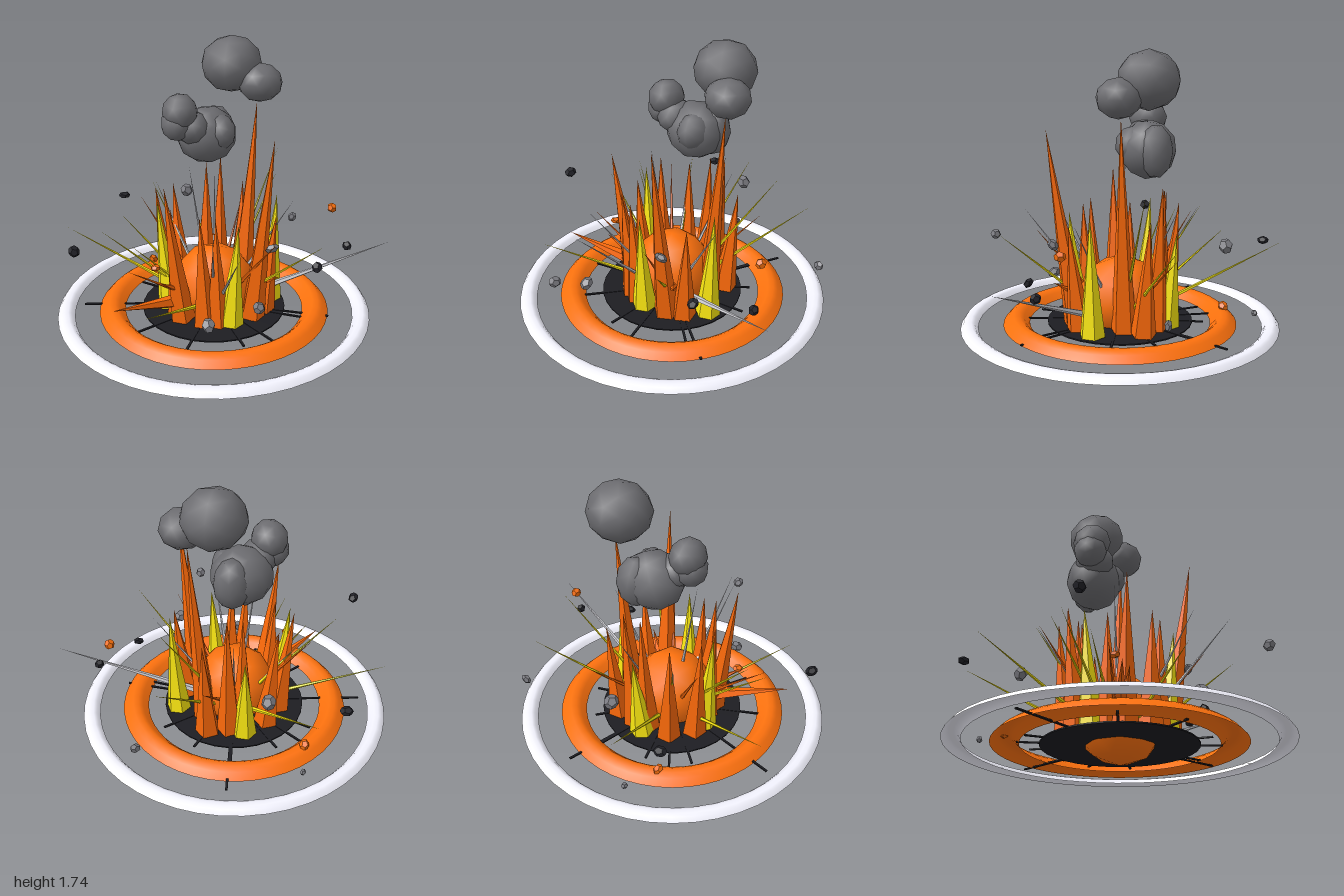
import * as THREE from 'three';

const CX = -0.035; // blast axis
const FLOOR = 0.112; // height of the scorched disc
const paint = (color, flatShading = false) => new THREE.MeshStandardMaterial({ color, flatShading });

export function createModel() {
  const model = new THREE.Group();
  const orange = paint(0xff720e), white = paint(0xf4f4ff), smokeGrey = paint(0x6c6c70);
  const dark = paint(0x1d1d22);
  const flame = paint(0xfa690a, true), yellow = paint(0xfbe812, true), silver = paint(0xd0d0d6, true);
  const coal = paint(0x222228, true), rock = paint(0x7c7c82, true), ember = paint(0xf06c0c, true);
  orange.side = white.side = THREE.DoubleSide;

  const add = (name, geometry, material, x = 0, y = 0, z = 0, parent = model) => {
    const mesh = new THREE.Mesh(geometry, material);
    mesh.name = name;
    mesh.position.set(x, y, z);
    parent.add(mesh);
    return mesh;
  };
  const group = (name) => {
    const g = new THREE.Group();
    g.name = name;
    model.add(g);
    return g;
  };

  // Domed shock rings, open underneath, turned from a profile of radius and height
  const ring = (name, profile, material) => {
    const points = profile.map(([r, y]) => new THREE.Vector2(r, y));
    add(name, new THREE.LatheGeometry(points, 48), material, CX, 0, 0);
  };
  ring('outerShockRing', [
    [0.965, 0.108], [0.945, 0.136], [0.925, 0.143], [0.9, 0.143], [0.88, 0.136], [0.86, 0.108],
  ], white);
  ring('innerShockRing', [
    [0.711, 0.108], [0.676, 0.146], [0.648, 0.165], [0.614, 0.165], [0.586, 0.146], [0.551, 0.108],
  ], orange);

  // Scorched disc with radial cracks
  add('scorchDisc', new THREE.CylinderGeometry(0.443, 0.443, 0.008, 32), dark, CX, FLOOR, 0);
  const cracks = group('cracks');
  const crackEnds = [
    [-0.81, -0.235], [-0.4, -0.4], [-0.3, -0.5], [-0.14, -0.5], [0.25, -0.73], [0.17, -0.56], [0.33, -0.34],
    [0.46, -0.12], [0.58, 0.37], [0.42, 0.33], [0.16, 0.53], [-0.02, 0.52], [-0.36, 0.48], [-0.6, 0.2],
  ];
  for (const [x, z] of crackEnds) {
    const length = Math.hypot(x - CX, z) - 0.2;
    const a = Math.atan2(z, x - CX);
    const geo = new THREE.BoxGeometry(length, 0.008, 0.014).translate(0.2 + length / 2, 0, 0);
    add('crack', geo, dark, CX, FLOOR + 0.003, 0, cracks).rotation.y = -a;
  }

  // Fireball core
  add('fireball', new THREE.IcosahedronGeometry(0.255, 1), orange, CX, 0.258, 0);

  // Cone from a base point to a tip
  const up = new THREE.Vector3(0, 1, 0);
  const spike = (name, base, tip, radius, sides, material, parent) => {
    const from = new THREE.Vector3(...base);
    const axis = new THREE.Vector3(...tip).sub(from);
    const length = axis.length();
    const geo = new THREE.ConeGeometry(radius, length, sides).translate(0, length / 2, 0);
    add(name, geo, material, ...base, parent).quaternion.setFromUnitVectors(up, axis.normalize());
  };

  // Tall flame spikes: base x, base z, tip x, y, z
  const flames = group('flameSpikes');
  const flameList = [
    [0.18, -0.1, 0.275, 1.37, -0.115], [0.14, 0.22, 0.195, 1.285, 0.374], [-0.27, 0.12, -0.38, 1.0, 0.17],
    [0.08, -0.26, 0.11, 0.98, -0.31], [-0.16, 0.22, -0.2, 0.83, 0.255], [0.23, 0.16, 0.29, 0.76, 0.2],
    [-0.28, -0.15, -0.34, 0.86, -0.2], [0.21, -0.23, 0.25, 0.8, -0.28], [-0.16, -0.26, -0.2, 0.83, -0.32],
    [-0.09, 0.24, -0.11, 0.81, 0.27], [-0.27, 0.02, -0.31, 0.8, 0.03], [-0.01, -0.26, 0.01, 0.95, -0.29],
  ];
  for (const [bx, bz, ...tip] of flameList) spike('flameSpike', [bx, FLOOR + 0.01, bz], tip, 0.077, 5, flame, flames);
  const lowList = [[-0.72, 0.33, 0.27], [-0.42, 0.42, 0.2], [0.28, 0.4, 0.3]];
  for (const tip of lowList) {
    spike('lowFlameSpike', [CX + (tip[0] - CX) * 0.3, 0.22, tip[2] * 0.3], tip, 0.05, 5, flame, flames);
  }

  // Yellow spikes on the four sides
  const yellows = group('yellowSpikes');
  const yellowList = [
    [-0.01, 0.26, 0.015, 0.77, 0.31], [0.32, 0.04, 0.355, 0.82, 0.04],
    [0.0, -0.31, 0.02, 0.69, -0.37], [-0.3, -0.06, -0.36, 0.82, -0.09],
  ];
  for (const [bx, bz, ...tip] of yellowList) spike('yellowSpike', [bx, FLOOR + 0.01, bz], tip, 0.077, 6, yellow, yellows);

  // Thin streaks thrown outward from the core
  const streaks = group('streaks');
  const streak = (tip, radius, material) => {
    const base = [CX + (tip[0] - CX) * 0.23, 0.17 + (tip[1] - 0.17) * 0.08, tip[2] * 0.23];
    spike('streak', base, tip, radius, 5, material, streaks);
  };
  const yellowTips = [
    [-0.85, 0.545, -0.47], [-0.7, 0.67, -0.07], [-0.6, 0.43, 0.57], [-0.2, 0.63, -0.93], [0.43, 0.7, 0.57],
    [0.59, 0.74, -0.535], [0.505, 0.98, -0.33], [-0.56, 0.715, -0.2], [-0.55, 0.6, 0.03], [-0.28, 0.8, -0.43],
  ];
  for (const tip of yellowTips) streak(tip, 0.015, yellow);
  streak([0.995, 0.535, 0.32], 0.022, silver);
  const silverTips = [
    [-0.19, 1.06, 0.02], [0.44, 0.79, 0.1], [-0.11, 0.75, 0.68],
    [-0.28, 0.8, -0.42], [-0.2, 0.8, 0.5], [0.1, 0.85, -0.4],
  ];
  for (const tip of silverTips) streak(tip, 0.014, silver);
  const flameTips = [[-0.6, 0.5, 0.15], [0.2, 0.7, 0.45], [0.3, 0.6, -0.45], [-0.4, 0.75, -0.35]];
  for (const tip of flameTips) streak(tip, 0.018, flame);

  // Flying debris: x, y, z, size, material
  const debris = group('debris');
  const chunks = [
    [-0.42, 0.585, -0.8, 0.039, coal], [-0.89, 0.66, 0.115, 0.039, coal], [0.78, 0.47, 0.175, 0.032, coal],
    [0.495, 0.455, 0.355, 0.037, coal], [-0.185, 0.19, -0.8, 0.022, rock], [-0.02, 0.63, -0.65, 0.046, rock],
    [0.71, 0.385, -0.52, 0.034, rock], [-0.235, 0.3, 0.53, 0.044, rock], [-0.07, 0.57, 0.865, 0.036, rock],
    [0.215, 0.61, 0.33, 0.042, rock], [-0.28, 0.18, -0.59, 0.034, ember], [0.72, 0.69, 0.06, 0.034, ember],
    [-0.43, 0.485, 0.12, 0.032, ember],
  ];
  chunks.forEach(([x, y, z, size, material], i) => {
    const chunk = add('chunk', new THREE.DodecahedronGeometry(size), material, x, y, z, debris);
    chunk.scale.set(1, 0.6 + 0.15 * (i % 3), 0.9);
    chunk.rotation.set(i * 1.3, i * 0.7, i * 2.1);
  });

  // Smoke puffs: x, y, z, radii
  const smoke = group('smoke');
  const puffs = [
    [0.155, 1.575, -0.235, 0.185, 0.17, 0.18], [0.29, 1.48, -0.11, 0.135, 0.115, 0.13],
    [-0.02, 1.17, -0.18, 0.185, 0.175, 0.165], [0.04, 1.2, -0.11, 0.095, 0.11, 0.11],
    [0.06, 1.17, -0.25, 0.11, 0.155, 0.1], [-0.2, 1.34, -0.12, 0.105, 0.11, 0.115],
    [-0.22, 1.27, -0.12, 0.095, 0.1, 0.1], [-0.13, 1.24, -0.13, 0.105, 0.1, 0.12],
  ];
  puffs.forEach(([x, y, z, ...radii], i) => {
    const geo = new THREE.IcosahedronGeometry(1, 1).rotateZ(i * 0.5).rotateY(i * 0.8).scale(...radii);
    add('smokePuff', geo, smokeGrey, x, y, z, smoke);
  });

  return model;
}
